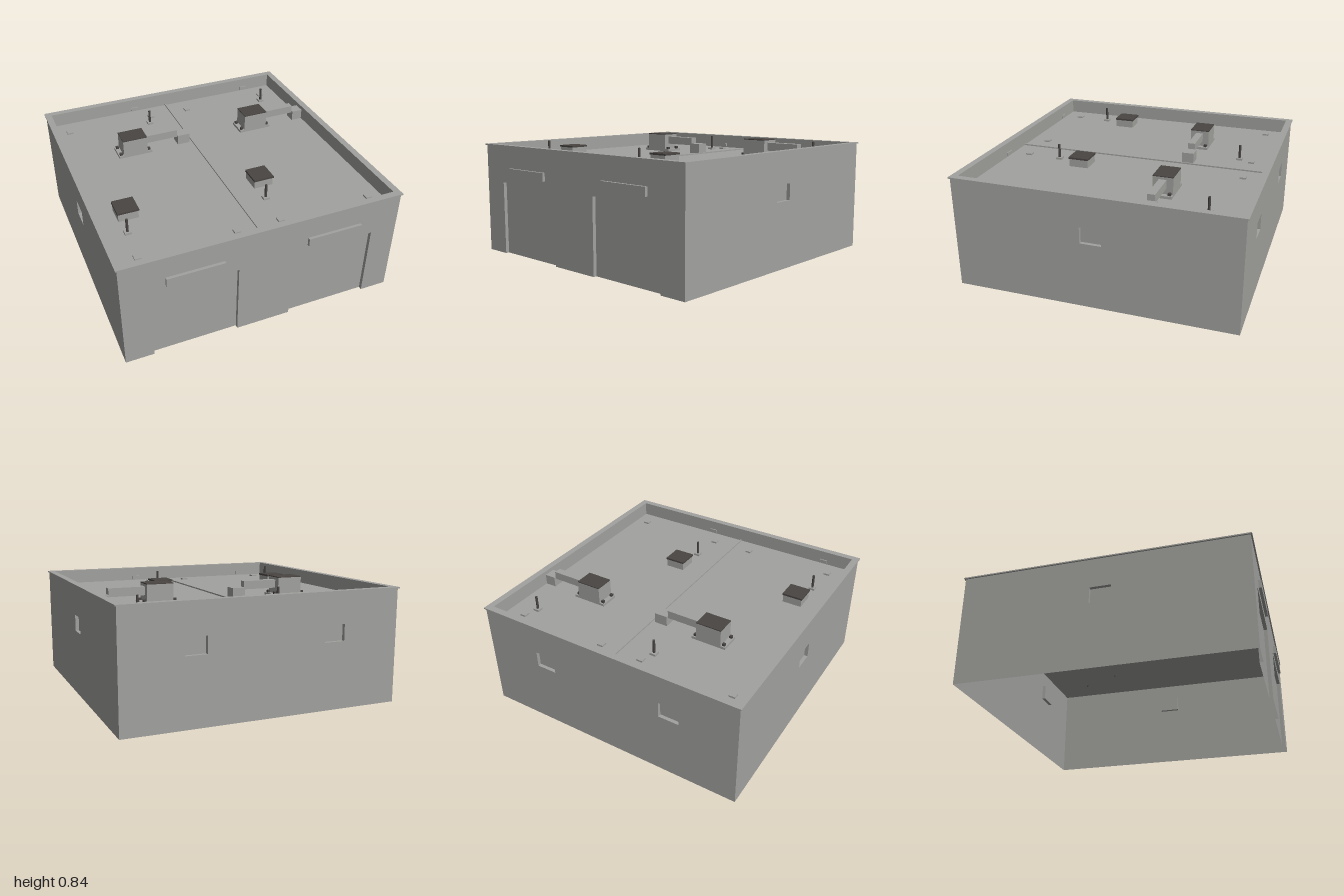
import * as THREE from 'three';

export function createModel() {
  const model = new THREE.Group();
  model.name = 'garageBuilding';
  const concrete = new THREE.MeshStandardMaterial({ color: 0xa2a29f, side: THREE.DoubleSide });
  concrete.name = 'concreteGrey';
  const dark = new THREE.MeshStandardMaterial({ color: 0x4a4543 });
  dark.name = 'darkGrey';

  const H = 0.985, TOP = 0.8, ROOF = 0.7, DEPTH = 0.025, UNIT = 0.985;

  const add = (parent, name, geo, mat) => {
    const m = new THREE.Mesh(geo, mat);
    m.name = name;
    parent.add(m);
    return m;
  };
  // Box given by its minimum and maximum on each axis
  const box = (parent, name, mat, x0, x1, y0, y1, z0, z1) => {
    const m = add(parent, name, new THREE.BoxGeometry(x1 - x0, y1 - y0, z1 - z0), mat);
    m.position.set((x0 + x1) / 2, (y0 + y1) / 2, (z0 + z1) / 2);
    return m;
  };
  const rect = (C, x0, y0, x1, y1) => {
    const p = new C();
    p.moveTo(x0, y0).lineTo(x1, y0).lineTo(x1, y1).lineTo(x0, y1).closePath();
    return p;
  };
  // Square ring lying flat, from y0 to y1
  const ring = (name, outer, inner, y0, y1) => {
    const s = rect(THREE.Shape, -outer, -outer, outer, outer);
    s.holes.push(rect(THREE.Path, -inner, -inner, inner, inner));
    const geo = new THREE.ExtrudeGeometry(s, { depth: y1 - y0, bevelEnabled: false });
    geo.rotateX(-Math.PI / 2);
    add(shell, name, geo, concrete).position.y = y0;
  };

  const shell = new THREE.Group();
  shell.name = 'shell';
  shell.position.z = -0.005;
  model.add(shell);

  // Thin wall with recessed openings; an opening is [name, x0, x1, y0, y1]
  const wall = (name, turn, openings) => {
    const g = new THREE.Group();
    g.name = name;
    g.rotation.y = turn;
    shell.add(g);
    const doors = openings.filter((o) => o[3] === 0);
    const s = new THREE.Shape();
    s.moveTo(-H, 0);
    for (const [, x0, x1, , y1] of doors) s.lineTo(x0, 0).lineTo(x0, y1).lineTo(x1, y1).lineTo(x1, 0);
    s.lineTo(H, 0).lineTo(H, TOP).lineTo(-H, TOP).closePath();
    for (const [, x0, x1, y0, y1] of openings) {
      if (y0 > 0) s.holes.push(rect(THREE.Path, x0, y0, x1, y1));
    }
    add(g, name + 'Panel', new THREE.ShapeGeometry(s), concrete).position.z = H;
    for (const [part, x0, x1, y0, y1] of openings) {
      const m = box(g, part, concrete, x0, x1, y0, y1, H - DEPTH, H);
      // Leave the recess open to the front, and doors open at the ground
      const idx = Array.from(m.geometry.index.array);
      m.geometry.setIndex(idx.filter((_, i) => !(i >= 24 && i < 30) && !(y0 === 0 && i >= 18 && i < 24)));
      m.geometry.clearGroups();
    }
  };
  wall('frontWall', 0, [['garageDoor', -0.79, -0.195, 0, 0.53], ['garageDoor', 0.195, 0.79, 0, 0.53]]);
  wall('leftWall', Math.PI / 2, [['window', -0.075, 0.075, 0.465, 0.58]]);
  wall('rightWall', -Math.PI / 2, [['window', -0.075, 0.075, 0.465, 0.58]]);
  wall('backWall', Math.PI, [-0.4925, 0.4925].map((x) => ['window', x - 0.075, x + 0.075, 0.465, 0.58]));

  // Flat roof with a centre seam, parapet and thin overhanging coping
  const roof = new THREE.PlaneGeometry(2 * H, 2 * H);
  roof.rotateX(-Math.PI / 2);
  add(shell, 'roofDeck', roof, concrete).position.y = ROOF;
  box(shell, 'roofSeam', concrete, -0.005, 0.005, ROOF - 0.01, ROOF + 0.01, -0.95, 0.95);
  ring('parapet', 0.982, 0.947, ROOF + 0.001, 0.796);
  ring('coping', 0.995, 0.947, 0.795, 0.804);

  // Each of the two bays carries the same equipment
  for (const [side, dx] of [['right', 0], ['left', UNIT]]) {
    const bay = new THREE.Group();
    bay.name = side + 'Bay';
    bay.position.x = dx;
    model.add(bay);

    // Sign panel above the door
    box(bay, 'signPanel', concrete, -0.69, -0.295, 0.58, 0.64, 0.975, 1);

    // Air handler on a base with four feet
    box(bay, 'airHandlerBase', concrete, -0.59, -0.335, ROOF, 0.718, -0.44, -0.3);
    box(bay, 'airHandler', concrete, -0.555, -0.37, 0.718, 0.835, -0.44, -0.3);
    box(bay, 'airHandlerTop', dark, -0.555, -0.37, 0.835, 0.841, -0.44, -0.3);
    for (const x of [-0.572, -0.356]) {
      for (const z of [-0.42, -0.32]) {
        box(bay, 'airHandlerFoot', dark, x - 0.01, x + 0.01, ROOF, 0.735, z - 0.01, z + 0.01);
      }
    }
    // Duct and the curb where it enters the roof
    box(bay, 'duct', concrete, -0.37, -0.12, 0.76, 0.818, -0.395, -0.342);
    box(bay, 'ductCurb', concrete, -0.12, -0.025, ROOF, 0.775, -0.41, -0.325);

    // Roof hatch
    box(bay, 'hatchCurb', concrete, -0.815, -0.675, ROOF, 0.757, 0.285, 0.425);
    box(bay, 'hatchLid', dark, -0.82, -0.67, 0.757, 0.77, 0.28, 0.43);

    // Vent pipes with flanges
    for (const [x, z] of [[-0.793, 0.555], [-0.215, -0.715]]) {
      const pipe = add(bay, 'ventPipe', new THREE.CylinderGeometry(0.009, 0.009, 0.112, 12), dark);
      pipe.position.set(x, ROOF + 0.056, z);
      box(bay, 'pipeFlange', concrete, x - 0.022, x + 0.022, ROOF, 0.715, z - 0.022, z + 0.022);
    }

    // Low drain covers near the corners
    for (const [x, z] of [[-0.846, -0.81], [-0.175, -0.81], [-0.139, 0.81], [-0.81, 0.81]]) {
      box(bay, 'drainCover', concrete, x - 0.022, x + 0.022, ROOF, 0.712, z - 0.022, z + 0.022);
    }
    // Overflow outlets on the parapet
    box(bay, 'overflowOutlet', concrete, -0.3, -0.24, 0.71, 0.735, -0.955, -0.943);
    box(bay, 'overflowOutlet', concrete, -0.755, -0.695, 0.71, 0.735, 0.933, 0.945);
  }
  return model;
}
